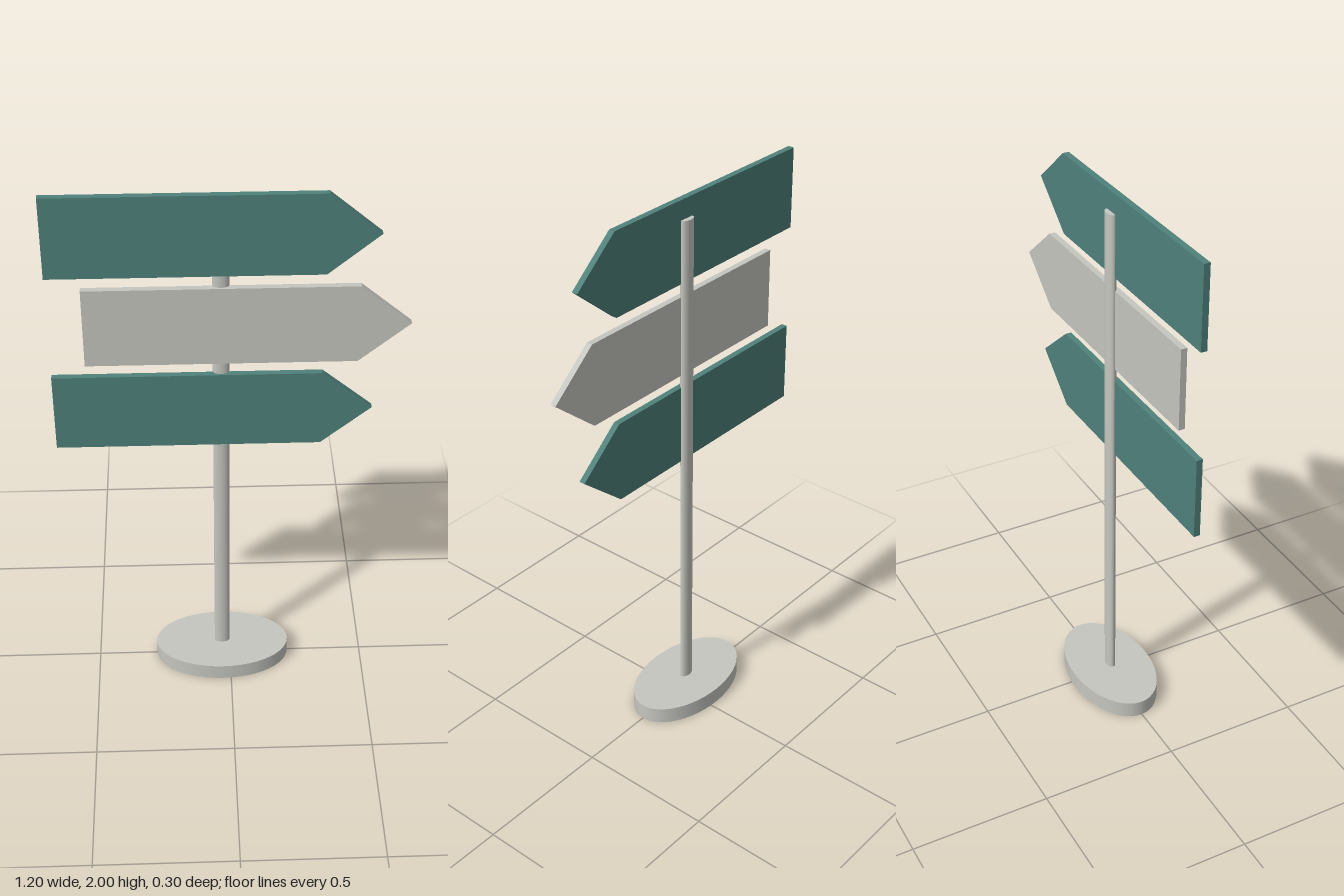
import * as THREE from 'three';

const material = (name, color) => {
  const m = new THREE.MeshStandardMaterial({ color });
  m.name = name;
  return m;
};

export function createModel() {
  const group = new THREE.Group();
  group.name = 'signpost';
  const stone = material('warm grey', 0xc6c6c0);
  const teal = material('teal', 0x4f817b);

  const add = (name, geometry, mat, x, y, z) => {
    const mesh = new THREE.Mesh(geometry, mat);
    mesh.name = name;
    mesh.position.set(x, y, z);
    group.add(mesh);
  };

  // Upright oval cylinder, standing on y = bottom
  const oval = (name, rx, rz, bottom, top) => {
    const h = top - bottom;
    const geometry = new THREE.CylinderGeometry(1, 1, h, 48).scale(rx, 1, rz);
    add(name, geometry, stone, -0.03, bottom + h / 2, -0.002);
  };
  oval('base', 0.25, 0.149, 0, 0.062);
  oval('pole', 0.028, 0.0168, 0.05, 1.93);

  // Pointed board, origin at its lower left corner
  const height = 0.293;
  const arrow = new THREE.Shape([
    new THREE.Vector2(0, 0),
    new THREE.Vector2(0.912, 0),
    new THREE.Vector2(1.085, height / 2),
    new THREE.Vector2(0.912, height),
    new THREE.Vector2(0, height),
  ]);
  const board = new THREE.ExtrudeGeometry(arrow, { depth: 0.022, bevelEnabled: false });
  add('topBoard', board, teal, -0.6, 2 - height, 0);
  add('middleBoard', board, stone, -0.485, 1.66 - height, 0);
  add('bottomBoard', board, teal, -0.6, 1.32 - height, 0);

  return group;
}
